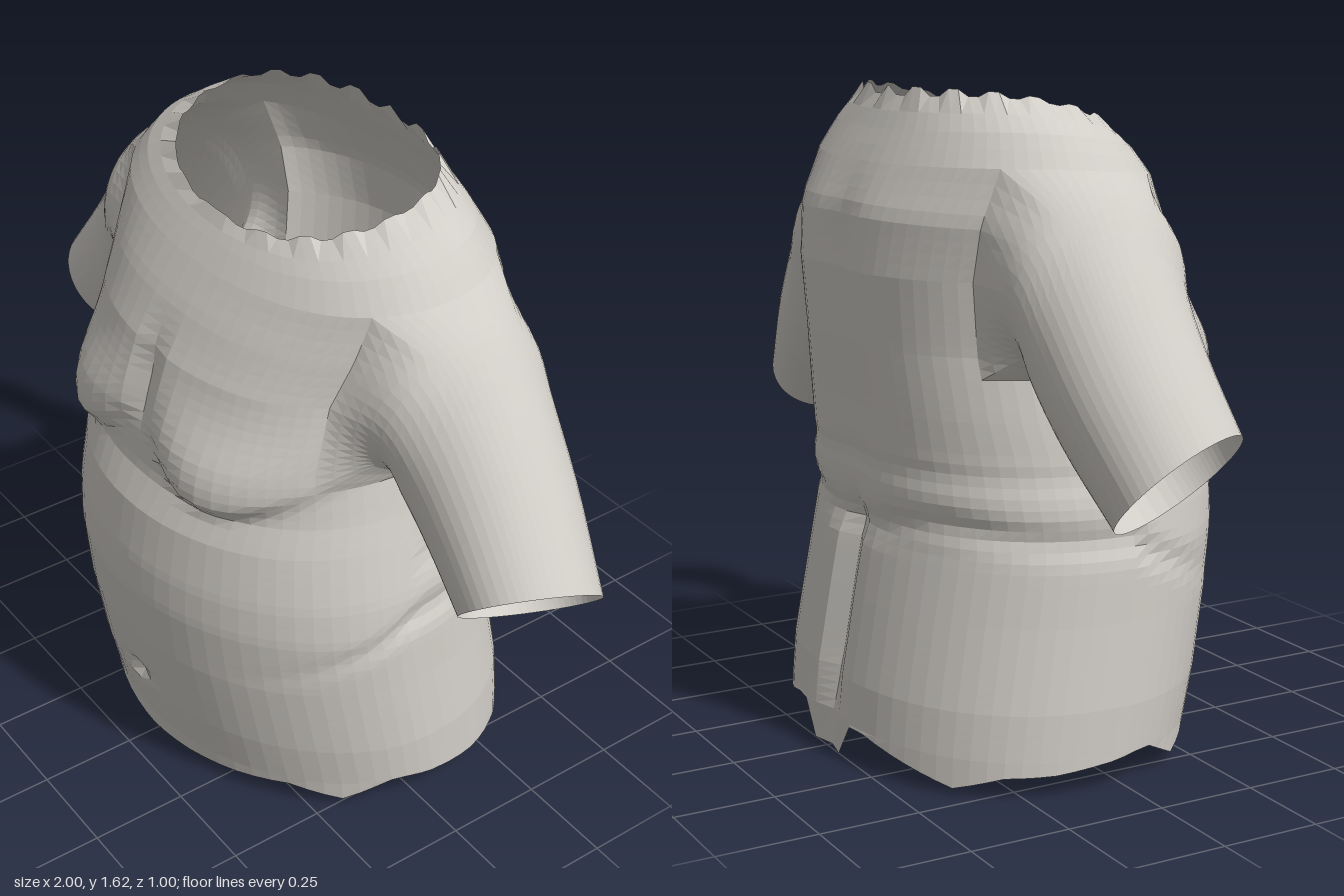
import * as THREE from 'three';

const COLS = 72, ROWS = 58;                       // torso grid
const HOLE = { c0: 12, c1: 25, r0: 37, r1: 54 };  // armhole, in grid cells

// Torso sections: front height, back height, half width, front z, back z, front roundness, back roundness
const SECTIONS = [
  [0.05, 0.07, 0.60, 0.42, -0.505, 1.9, 2.25],
  [0.20, 0.20, 0.60, 0.455, -0.495, 1.9, 2.25],
  [0.40, 0.40, 0.587, 0.49, -0.46, 1.9, 2.25],
  [0.56, 0.56, 0.58, 0.505, -0.43, 1.9, 2.25],
  [0.66, 0.66, 0.567, 0.50, -0.44, 1.95, 2.25],
  [0.80, 0.80, 0.535, 0.475, -0.445, 2.05, 2.25],
  [0.88, 0.88, 0.517, 0.435, -0.45, 2.2, 2.3],
  [1.03, 1.03, 0.49, 0.415, -0.465, 2.4, 2.3],
  [1.20, 1.20, 0.50, 0.375, -0.475, 2.4, 2.3],
  [1.31, 1.34, 0.535, 0.32, -0.455, 2.3, 2.3],
  [1.40, 1.45, 0.555, 0.262, -0.395, 2.2, 2.2],
  [1.46, 1.54, 0.485, 0.22, -0.345, 2.2, 2.2],
  [1.50, 1.61, 0.375, 0.19, -0.31, 2.2, 2.2],
];

// Height of the cut lower edge, from front centre to back centre
const HEM = [0.025, 0.03, 0.04, 0.055, 0.025, 0.085, 0.07, 0.055, 0.05, 0.015, 0.05, 0.085, 0.085];

// Arm rings: centre x, y, z, outward direction x, y, half height, half depth, end shear
const ARM_RINGS = [
  [0.575, 1.185, -0.078, 0.29, 0.96, 0.212, 0.227, 0],
  [0.645, 1.085, -0.087, 0.44, 0.90, 0.205, 0.203, 0],
  [0.75, 0.955, -0.083, 0.60, 0.80, 0.182, 0.188, 0.3],
  [0.885, 0.80, -0.06, 0.72, 0.69, 0.157, 0.168, 1],
];

const { smoothstep, lerp } = THREE.MathUtils;
const bell = (v, width) => Math.exp(-((v / width) ** 2));
const spow = (v, n) => Math.sign(v) * Math.abs(v) ** (2 / n);

function sectionAt(y) {
  let k = 0;
  while (k < SECTIONS.length - 2 && y > SECTIONS[k + 1][0]) k++;
  const a = SECTIONS[k], b = SECTIONS[k + 1];
  const t = (y - a[0]) / (b[0] - a[0]);
  return a.map((v, i) => v + (b[i] - v) * t);
}

// Raised and sunken forms of the body, measured along the outward direction
function relief(x, y, c) {
  const ax = Math.abs(x);
  if (c > 0) {
    const fold = 0.88 + (ax < 0.25 ? 0.17 * ((0.25 - ax) / 0.25) ** 2 : 2 * (ax - 0.25) ** 2);
    const breast = 0.058 * smoothstep(y, fold - 0.025, fold + 0.045) * bell(y - fold - 0.08, 0.14) * bell(ax - 0.24, 0.17);
    const cleavage = 0.02 * bell(ax, 0.04) * bell(y - 1.13, 0.1);
    const navel = 0.03 * bell(ax, 0.04) * bell(y - 0.24, 0.025);
    const flank = 0.015 * bell(y - 0.58 + 0.2 * c, 0.03) * (1 - c) ** 2;
    return breast - cleavage - navel - flank;
  }
  const cleft = 0.04 * bell(ax, 0.05) * (1 - smoothstep(y, 0.5, 0.7)) * smoothstep(y, -0.1, 0.25);
  const spine = 0.025 * bell(ax, 0.09) * smoothstep(y, 0.5, 0.7) * (1 - smoothstep(y, 1.2, 1.5));
  const roll = 0.015 * bell(y - 0.58 - 0.04 * bell(ax - 0.35, 0.2), 0.035) + 0.006 * bell(y - 0.74, 0.03);
  return -cleft - spine - roll;
}

function torsoPoint(row, col) {
  const i = ((col % COLS) + COLS) % COLS;
  const angle = (i / COLS) * Math.PI * 2;
  const s = Math.sin(angle), c = Math.cos(angle);
  const [yF, yB, w, zF, zB, nF, nB] = sectionAt(0.05 + (1.45 * row) / ROWS);
  const n = c > 0 ? nF : nB;
  const cz = spow(c, n);
  let x = w * spow(s, n);
  let z = (zF + zB) / 2 + ((zF - zB) / 2) * cz;
  let y = (yF + yB) / 2 + ((yF - yB) / 2) * cz + 0.035 * s * s * smoothstep(yF, 1.3, 1.45);
  const d = relief(x, y, c);
  x += d * s;
  z += d * c;
  const half = Math.min(i, COLS - i);
  if (row === 0) {                                 // uneven hem with a small tab at the back
    const k = Math.min(Math.floor(half / 3), 11);
    y = half >= 35 ? 0 : lerp(HEM[k], HEM[k + 1], half / 3 - k);
  }
  if (row === ROWS) y += (half % 4 < 2 ? 0.014 : -0.008) * (1 - 0.6 * Math.max(c, s * s)); // ragged neck
  return new THREE.Vector3(x, y, z);
}

// Faceted skin over a grid of points
function skin(rows, cols, point, skip = () => false) {
  const positions = [], index = [];
  for (let r = 0; r <= rows; r++)
    for (let c = 0; c <= cols; c++) positions.push(...point(r, c).toArray());
  for (let r = 0; r < rows; r++)
    for (let c = 0; c < cols; c++) {
      if (skip(r, c)) continue;
      const a = r * (cols + 1) + c, b = a + 1, d = a + cols + 1, e = d + 1;
      index.push(a, b, e, a, e, d);
    }
  const g = new THREE.BufferGeometry();
  g.setAttribute('position', new THREE.Float32BufferAttribute(positions, 3));
  g.setIndex(index);
  const flat = g.toNonIndexed();
  flat.computeVertexNormals();
  return flat;
}

// Rim of the left armhole, walked once round
function armholeRim() {
  const { c0, c1, r0, r1 } = HOLE, rim = [];
  for (let c = c0; c < c1; c++) rim.push(torsoPoint(r0, c));
  for (let r = r0; r < r1; r++) rim.push(torsoPoint(r, c1));
  for (let c = c1; c > c0; c--) rim.push(torsoPoint(r1, c));
  for (let r = r1; r > r0; r--) rim.push(torsoPoint(r, c0));
  return rim;
}

// Each rim point runs down the arm along its own smooth curve
function armGeometry(side) {
  const rim = armholeRim(), steps = 15;
  const mid = rim.reduce((m, p) => m.add(p), new THREE.Vector3()).divideScalar(rim.length);
  const curves = rim.map((p) => {
    const a = Math.atan2((p.z - mid.z) / 0.25, (p.y - mid.y) / 0.22);
    const along = Math.cos(a), across = Math.sin(a);
    const path = ARM_RINGS.map(([x, y, z, ux, uy, h, depth, shear]) => new THREE.Vector3(
      x + ux * h * along - 0.03 * shear * across,
      y + uy * h * along + 0.045 * shear * across,
      z + depth * across));
    return new THREE.CatmullRomCurve3([p, ...path]);
  });
  const n = curves.length;
  return skin(steps, n, (r, j) => {
    const p = curves[(side > 0 ? j : n - j) % n].getPoint(r / steps);
    p.x *= side;
    return p;
  });
}

export function createModel() {
  const group = new THREE.Group();
  group.name = 'torsoModel';
  const material = new THREE.MeshStandardMaterial({ color: 0xd0ccc6, side: THREE.DoubleSide, flatShading: true });
  material.name = 'paleGrey';
  const add = (name, geometry) => {
    const mesh = new THREE.Mesh(geometry, material);
    mesh.name = name;
    group.add(mesh);
  };

  // Body shell, open at neck, waist and armholes
  const { c0, c1, r0, r1 } = HOLE;
  add('torso', skin(ROWS, COLS, torsoPoint, (r, c) => {
    const left = c >= c0 && c < c1, right = c >= COLS - c1 && c < COLS - c0;
    return r >= r0 && r < r1 && (left || right);
  }));

  // Short open arms
  add('leftArm', armGeometry(1));
  add('rightArm', armGeometry(-1));
  return group;
}
